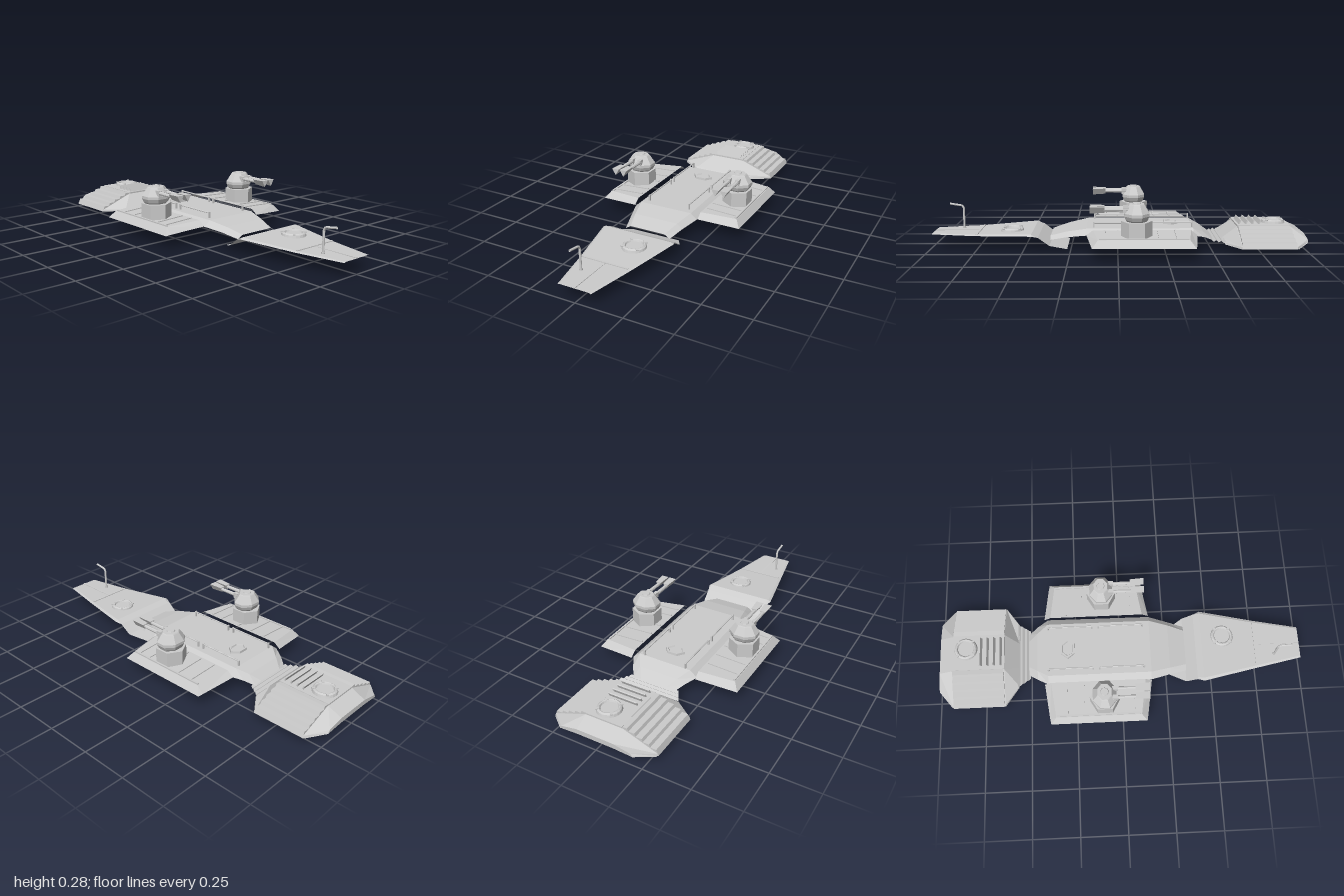
import * as THREE from 'three';

const mat = new THREE.MeshStandardMaterial({ color: 0xcccccc, flatShading: true, side: THREE.DoubleSide });

function add(parent, name, geo, x = 0, y = 0, z = 0) {
  const m = new THREE.Mesh(geo, mat);
  m.name = name;
  m.position.set(x, y, z);
  parent.add(m);
  return m;
}

// Sheet through rows of points; rows run front to back, points run towards +x
function sheet(parent, name, rows) {
  const pos = [];
  for (let i = 0; i + 1 < rows.length; i++) {
    for (let j = 0; j + 1 < rows[i].length; j++) {
      const a = rows[i][j], b = rows[i][j + 1], c = rows[i + 1][j + 1], d = rows[i + 1][j];
      pos.push(...a, ...b, ...c, ...a, ...c, ...d);
    }
  }
  const g = new THREE.BufferGeometry();
  g.setAttribute('position', new THREE.Float32BufferAttribute(pos, 3));
  g.computeVertexNormals();
  return add(parent, name, g);
}

// Symmetric cross row from [x, y] pairs (centre outwards) at depth z
const row = (z, ...half) => [
  ...half.slice().reverse().map(([x, y]) => [-x, y, z]),
  ...half.map(([x, y]) => [x, y, z]),
];

const box = (parent, name, w, h, d, x, y, z) => add(parent, name, new THREE.BoxGeometry(w, h, d), x, y, z);

const lathe = (pts, n) => new THREE.LatheGeometry(pts.map(([r, y]) => new THREE.Vector2(r, y)), n);

// Raised round hatch with a chamfered rim and four clamps
function roundHatch(parent, name, x, y, z) {
  const g = new THREE.Group();
  g.name = name;
  g.position.set(x, y, z);
  parent.add(g);
  add(g, 'hatchRim', lathe([[0.064, 0], [0.06, 0.014], [0.052, 0.02], [0.046, 0.018], [0.042, 0.01], [0, 0.01]], 20));
  for (let i = 0; i < 4; i++) {
    const a = Math.PI / 4 + i * Math.PI / 2;
    const clamp = box(g, 'hatchClamp', 0.012, 0.006, 0.02, Math.sin(a) * 0.056, 0.018, Math.cos(a) * 0.056);
    clamp.rotation.y = a;
  }
}

function bow(root) {
  const g = new THREE.Group();
  g.name = 'bow';
  root.add(g);
  sheet(g, 'bowDeck', [
    row(1.0, [0.08, 0.076], [0.09, 0.072]),
    row(0.755, [0.127, 0.078], [0.14, 0.073]),
    row(0.455, [0.19, 0.092], [0.205, 0.084]),
  ]);
  // folded plate that drops beneath the middle deck
  sheet(g, 'bowRearPlate', [
    row(0.455, [0.19, 0.092], [0.205, 0.084]),
    row(0.42, [0.18, 0.075], [0.192, 0.075]),
    row(0.36, [0.17, 0.03], [0.188, 0.03]),
    row(0.27, [0.12, 0], [0.135, 0]),
  ]);
  box(g, 'crossSeam', 0.254, 0.006, 0.01, 0, 0.079, 0.752);
  box(g, 'centreSeam', 0.01, 0.005, 0.245, 0, 0.077, 0.877);
  roundHatch(g, 'bowHatch', 0.05, 0.083, 0.57);
  const path = new THREE.CurvePath();
  const p = [[0.07, 0.855], [0.19, 0.855], [0.203, 0.864], [0.213, 0.93]].map(([y, z]) => new THREE.Vector3(-0.063, y, z));
  for (let i = 0; i < 3; i++) path.add(new THREE.LineCurve3(p[i], p[i + 1]));
  add(g, 'bentMast', new THREE.TubeGeometry(path, 24, 0.006, 8));
  add(g, 'mastFoot', new THREE.CylinderGeometry(0.009, 0.009, 0.012, 8), -0.063, 0.079, 0.855);
}

function middle(root) {
  const g = new THREE.Group();
  g.name = 'middleDeck';
  root.add(g);
  sheet(g, 'deckPlate', [
    row(0.36, [0.1, 0.068], [0.13, 0.05]),
    row(0.27, [0.125, 0.095], [0.155, 0.07]),
    row(0.165, [0.15, 0.115], [0.185, 0.085]),
    row(-0.4, [0.15, 0.117], [0.19, 0.085]),
    row(-0.46, [0.11, 0.088], [0.155, 0.07]),
    row(-0.51, [0.075, 0.055], [0.12, 0.045]),
  ]);
  // corrugated neck
  const neck = [];
  for (let i = 0; i < 7; i++) {
    neck.push(row(-0.5 - i * 0.012, [0.14 + i * 0.0075, i % 2 ? 0.042 : 0.052]));
  }
  sheet(g, 'corrugatedNeck', neck);
  // six-sided hatch
  const hatch = add(g, 'sixSidedHatch', lathe([[0.058, 0], [0.056, 0.014], [0.044, 0.014], [0.04, 0.006], [0, 0.006]], 6), 0, 0.115, -0.29);
  hatch.geometry.rotateY(Math.PI / 2);
  hatch.scale.z = 0.75;
  // handrails
  for (const x of [-0.12, 0.12]) {
    for (const z of [-0.275, 0.005]) {
      const rail = add(g, 'handrail', new THREE.CylinderGeometry(0.004, 0.004, 0.25, 6), x, 0.142, z);
      rail.rotation.x = Math.PI / 2;
      for (const e of [-0.122, 0.122]) box(g, 'railPost', 0.01, 0.032, 0.008, x, 0.131, z + e);
    }
  }
}

// Six-sided pedestal, faceted ball and twin guns
function turret(parent) {
  const g = new THREE.Group();
  g.name = 'turret';
  g.position.set(0.3, 0, -0.095);
  parent.add(g);
  add(g, 'turretBase', new THREE.CylinderGeometry(0.08, 0.08, 0.083, 6), 0, 0.1455, 0);
  const ball = add(g, 'turretBall', lathe([[0.058, 0.183], [0.07, 0.195], [0.08, 0.215], [0.08, 0.23], [0.05, 0.272], [0.046, 0.276], [0, 0.276]], 8));
  ball.geometry.rotateY(Math.PI / 8);
  ball.scale.z = 0.85;
  add(g, 'turretCap', new THREE.CylinderGeometry(0.02, 0.024, 0.008, 8), 0, 0.278, 0);
  for (const x of [-0.024, 0.024]) {
    const barrel = add(g, 'gunBarrel', new THREE.CylinderGeometry(0.009, 0.011, 0.14, 8), x, 0.25, 0.1);
    barrel.rotation.x = Math.PI / 2;
    // three-sided muzzle, wide side up
    const muzzle = add(g, 'gunMuzzle', new THREE.CylinderGeometry(0.024, 0.019, 0.075, 3), x, 0.253, 0.2);
    muzzle.rotation.x = Math.PI / 2;
    box(g, 'gunMount', 0.02, 0.03, 0.03, x, 0.248, 0.055);
  }
}

function sponson(root, side) {
  const g = new THREE.Group();
  g.name = side > 0 ? 'leftSponson' : 'rightSponson';
  g.scale.x = side;
  root.add(g);
  sheet(g, 'sponsonPlate', [
    [[0.19, 0.088, 0.165], [0.383, 0.072, 0.135], [0.41, 0.068, 0.13]],
    [[0.19, 0.115, 0.13], [0.383, 0.106, 0.1], [0.41, 0.068, 0.13]],
    [[0.19, 0.115, -0.385], [0.383, 0.106, -0.36], [0.41, 0.068, -0.39]],
    [[0.19, 0.088, -0.42], [0.383, 0.072, -0.395], [0.41, 0.068, -0.39]],
  ]);
  for (const z of [-0.3, -0.21, -0.12, 0.0, 0.07]) {
    const rib = box(g, 'sponsonRib', 0.17, 0.007, 0.01, 0.285, 0.112, z);
    rib.rotation.z = -0.047;
  }
  box(g, 'sponsonEdgeStrip', 0.01, 0.008, 0.45, 0.375, 0.108, -0.13);
  turret(g);
}

function pod(root) {
  const g = new THREE.Group();
  g.name = 'rearPod';
  root.add(g);
  sheet(g, 'podShell', [
    row(-0.565, [0.07, 0.048], [0.18, 0.044], [0.185, 0.037]),
    row(-0.64, [0.1, 0.116], [0.285, 0.046], [0.29, 0.034]),
    row(-0.925, [0.1, 0.116], [0.285, 0.046], [0.29, 0.034]),
    row(-1.0, [0.1, 0.082], [0.19, 0.065], [0.2, 0.055]),
    row(-1.0, [0.1, 0.055], [0.19, 0.05], [0.2, 0.048]),
    row(-0.93, [0.1, 0.037], [0.26, 0.036], [0.288, 0.034]),
  ]);
  // stepped side armour, closed at both ends
  const steps = [[0.1, 0.122]];
  for (let i = 0; i < 5; i++) {
    const x = 0.1 + i * 0.038, y = 0.122 - i * 0.015;
    steps.push([x + 0.026, y + 0.002], [x + 0.032, y - 0.013]);
  }
  steps.push([0.29, 0.034]);
  const shape = new THREE.Shape([...steps, [0.284, 0.034], [0.1, 0.108]].map(([x, y]) => new THREE.Vector2(x, y)));
  for (const s of [-1, 1]) {
    const armour = add(g, s > 0 ? 'leftSteppedArmour' : 'rightSteppedArmour',
      new THREE.ExtrudeGeometry(shape, { depth: 0.28, bevelEnabled: false }), 0, 0, -0.923);
    armour.scale.x = s;
  }
  box(g, 'podTopPanel', 0.2, 0.01, 0.285, 0, 0.119, -0.783);
  // slanted cooling slats
  for (let i = 0; i < 4; i++) {
    const slat = box(g, 'coolingSlat', 0.16, 0.024, 0.006, 0, 0.133, -0.66 - i * 0.036);
    slat.rotation.x = -0.4;
  }
  roundHatch(g, 'podHatch', 0.02, 0.123, -0.85);
}

export function createModel() {
  const root = new THREE.Group();
  root.name = 'segmentedCraft';
  bow(root);
  middle(root);
  sponson(root, 1);
  sponson(root, -1);
  pod(root);
  return root;
}
